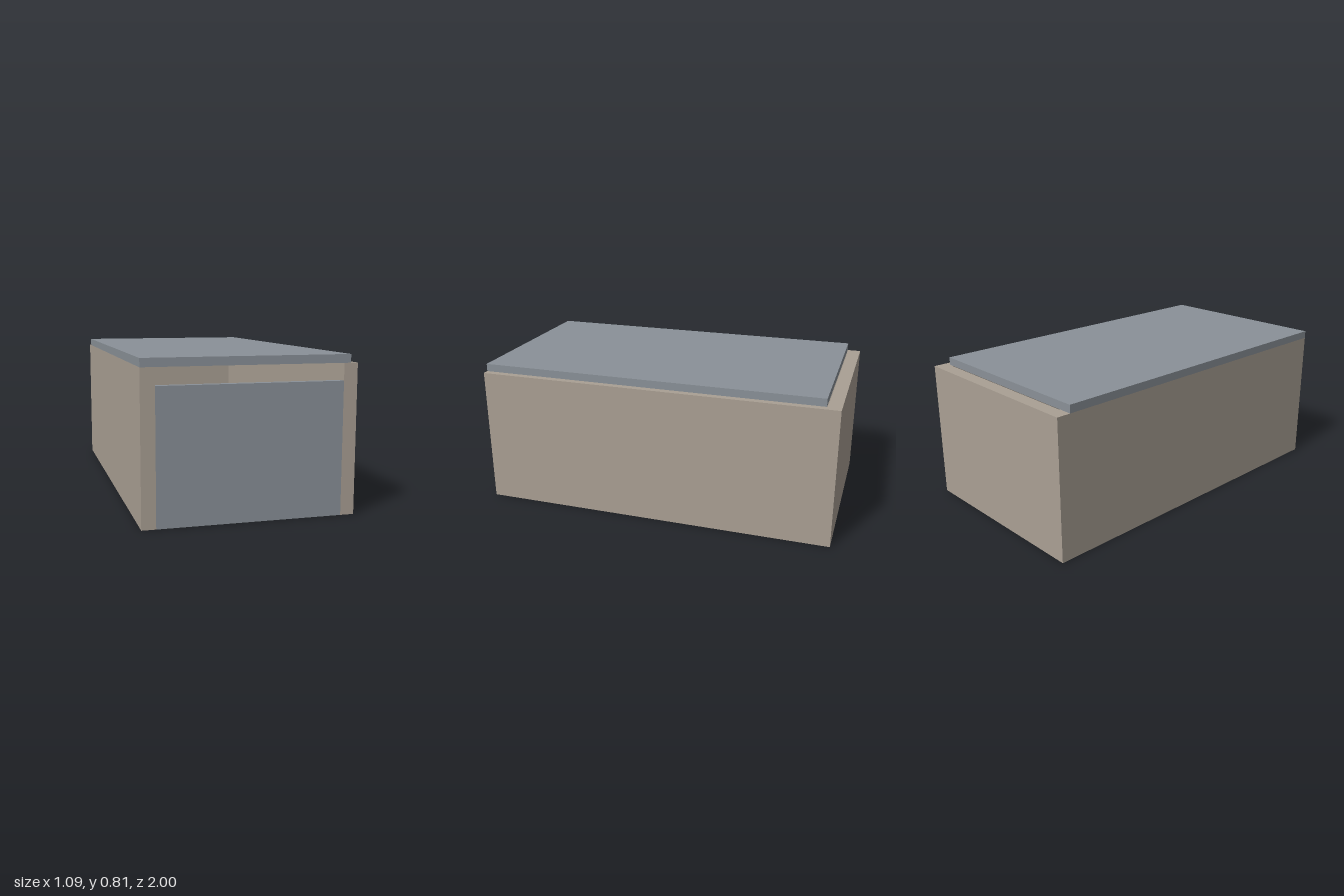
import * as THREE from 'three';

export function createModel() {
  const model = new THREE.Group();
  model.name = 'slidingLidBox';

  const tan = new THREE.MeshStandardMaterial({ color: 0xaaa094 });
  tan.name = 'warm tan';
  const slate = new THREE.MeshStandardMaterial({ color: 0x8a9198 });
  slate.name = 'slate blue';

  const W = 0.547, T = 0.072, H = 0.772; // half width, wall thickness, wall height
  const PANEL = 0.04;                    // lid and front panel thickness

  // U-shaped walls: two sides and a back, open at the floor and front
  const plan = new THREE.Shape([
    [-W, -1], [-W + T, -1], [-W + T, 1 - T], [W - T, 1 - T],
    [W - T, -1], [W, -1], [W, 1], [-W, 1],
  ].map(([x, y]) => new THREE.Vector2(x, y)));
  const wallGeo = new THREE.ExtrudeGeometry(plan, { depth: H, bevelEnabled: false });
  wallGeo.rotateX(-Math.PI / 2); // plan y becomes -z, extrusion becomes height
  const walls = new THREE.Mesh(wallGeo, tan);
  walls.name = 'walls';
  model.add(walls);

  // Box given by its lower and upper corners
  const addBox = (name, min, max) => {
    const size = max.map((v, i) => v - min[i]);
    const mesh = new THREE.Mesh(new THREE.BoxGeometry(...size), slate);
    mesh.position.set(...max.map((v, i) => (v + min[i]) / 2));
    mesh.name = name;
    model.add(mesh);
  };

  // Front panel stops short of the lid, leaving a slot
  addBox('frontPanel', [-W + T, 0, 1 - PANEL], [W - T, 0.684, 1]);

  // Lid lies off-centre, exposing the left and back rims
  addBox('lid', [-W, H, -0.924], [0.51, 0.815, 1]);

  return model;
}
